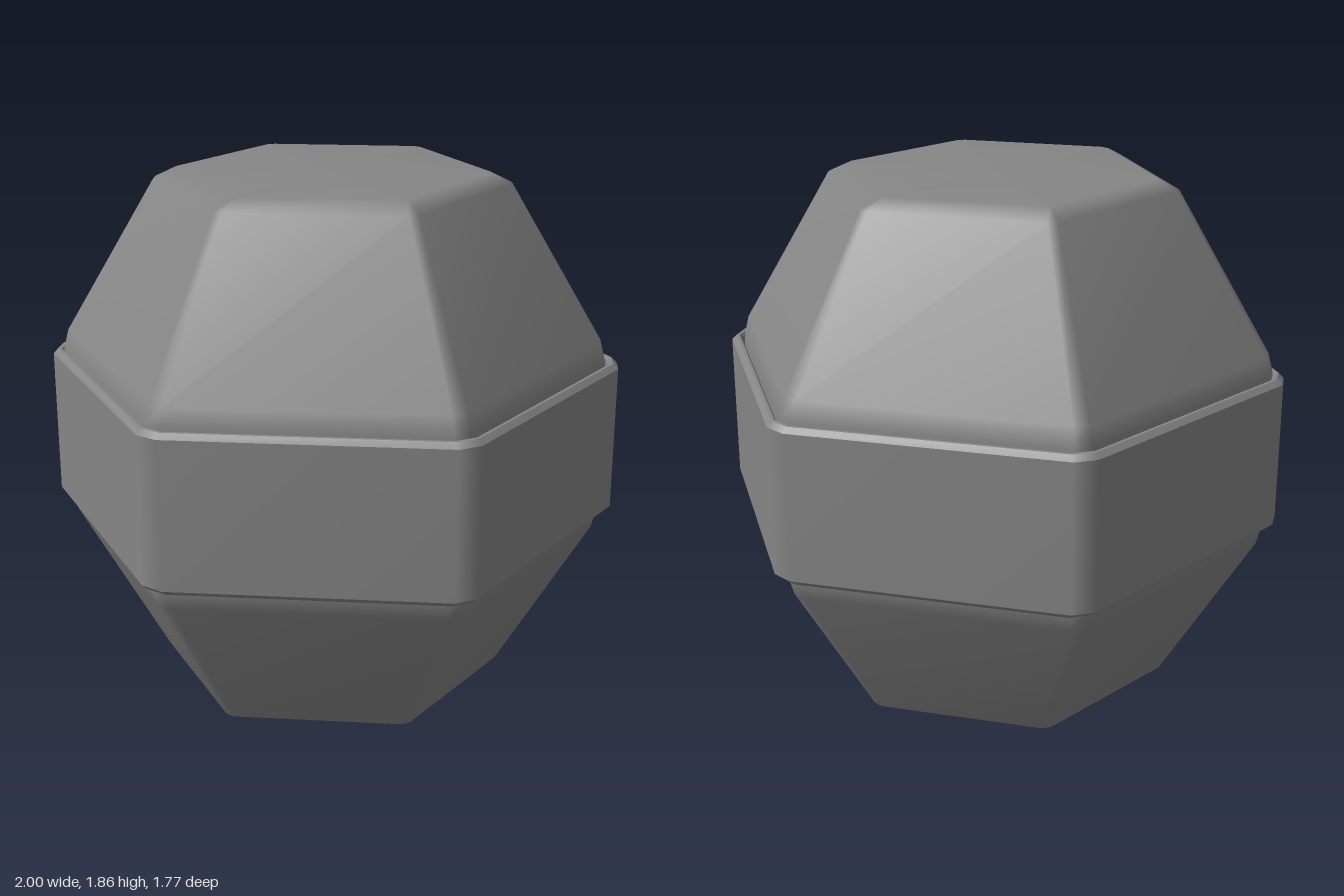
import * as THREE from 'three';
import { mergeGeometries } from 'three/addons/utils/BufferGeometryUtils.js';

// Stack of hexagonal rings with trimmed corners; rows are [flat-side distance, y]
function hexLoft(rows, trim, capped) {
  const pos = [], index = [], n = 12;
  const half = Math.atan(trim * Math.sqrt(3) / (1 - trim));
  for (const [apothem, y] of rows) {
    const r = apothem / Math.cos(Math.PI / 6) * (1 - trim) / Math.cos(half);
    for (let i = 0; i < n; i++) {
      const t = Math.floor(i / 2) * Math.PI / 3 + (i % 2 ? half : -half);
      pos.push(r * Math.cos(t), y, -r * Math.sin(t));
    }
  }
  const last = (rows.length - 1) * n, c = rows.length * n;
  for (let lo = 0; lo < last; lo += n) {
    for (let i = 0; i < n; i++) {
      const k = (i + 1) % n, hi = lo + n;
      index.push(lo + i, lo + k, hi + k, lo + i, hi + k, hi + i);
    }
  }
  if (capped) {
    // Flat ends, fanned from a centre point
    pos.push(0, rows[0][1], 0, 0, rows[rows.length - 1][1], 0);
    for (let i = 0; i < n; i++) {
      const k = (i + 1) % n;
      index.push(c, k, i, c + 1, last + i, last + k);
    }
  }
  const geo = new THREE.BufferGeometry();
  geo.setAttribute('position', new THREE.Float32BufferAttribute(pos, 3));
  geo.setIndex(index);
  geo.computeVertexNormals();
  return geo;
}

export function createModel() {
  const model = new THREE.Group();
  model.name = 'hexagonalGem';
  const height = 1.86;
  const darkGrey = new THREE.MeshStandardMaterial({ color: 0x868686 });

  // Faceted core, the lower half mirrored to the upper half
  const lower = [[0.475, 0], [0.54, 0.035], [0.828, 0.585], [0.843, 0.65], [0.847, 0.72]];
  const upper = lower.map(([a, y]) => [a, height - y]).reverse();
  const core = new THREE.Mesh(hexLoft([...lower, ...upper], 0.016, true), darkGrey);
  core.name = 'core';
  core.position.set(-0.004, 0, -0.002);
  model.add(core);

  // Hollow band: each strip of its section is smooth around, with sharp rims between strips
  const y0 = 0.655, y1 = 1.205, b = 0.018;
  const section = [
    [0.869, y0], [0.886, y0 + b], [0.886, y1 - b], [0.869, y1],
    [0.859, y1], [0.853, y1 - 0.008], [0.853, y0 + 0.008], [0.859, y0],
  ];
  const strips = section.map((row, j) => hexLoft([row, section[(j + 1) % section.length]], 0.0225, false));
  const band = new THREE.Mesh(mergeGeometries(strips), darkGrey);
  band.name = 'band';
  model.add(band);

  return model;
}
